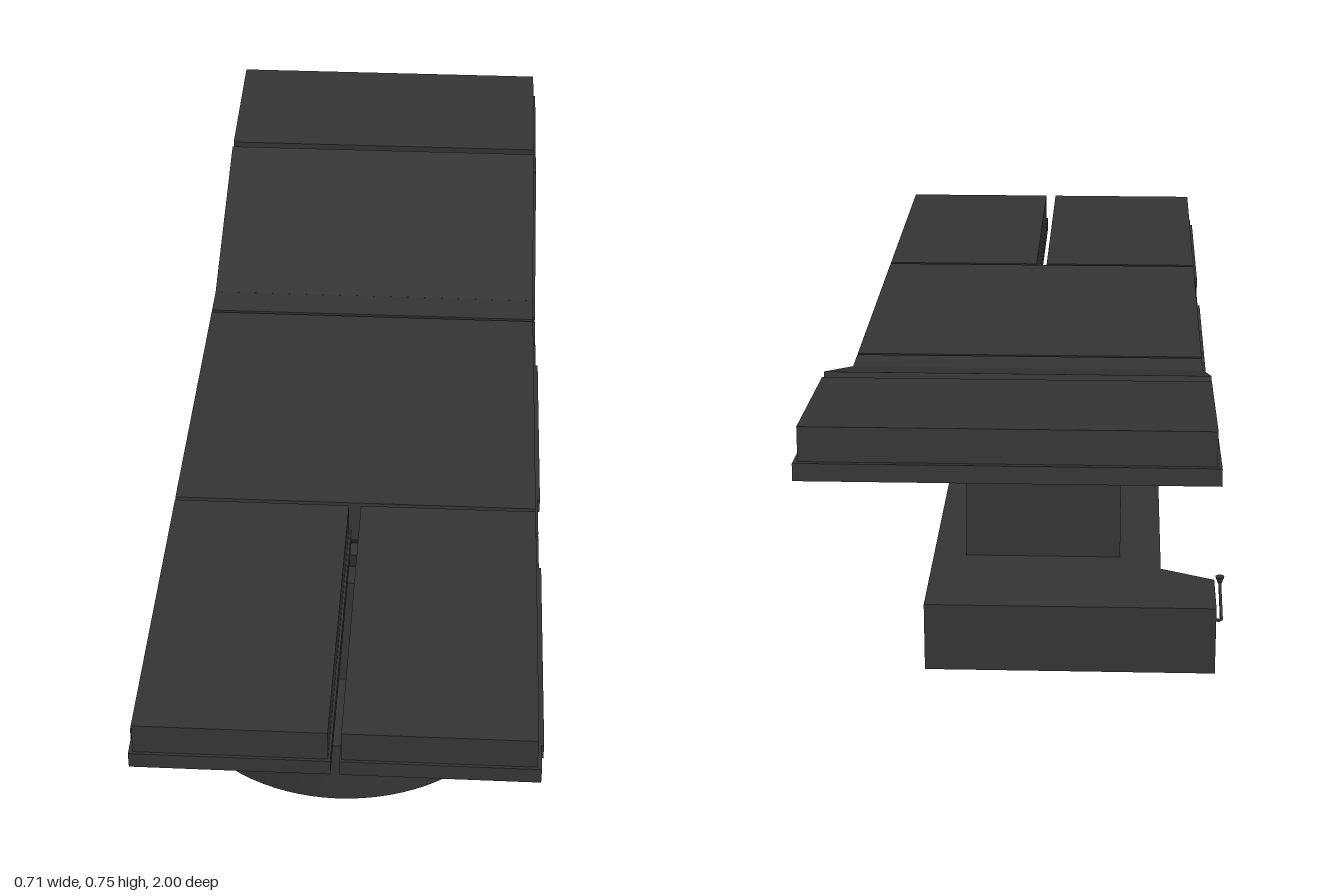
import * as THREE from 'three';
import { toCreasedNormals } from 'three/addons/utils/BufferGeometryUtils.js';

export function createModel() {
  const model = new THREE.Group();
  model.name = 'operatingTable';
  const dark = new THREE.MeshStandardMaterial({ color: 0x353535, side: THREE.DoubleSide });
  dark.name = 'darkGrey';

  const add = (name, geometry, parent = model) => {
    const mesh = new THREE.Mesh(geometry, dark);
    mesh.name = name;
    parent.add(mesh);
    return mesh;
  };
  // box given by its limits
  const block = (name, x0, x1, y0, y1, z0, z1, parent) => {
    const g = new THREE.BoxGeometry(x1 - x0, y1 - y0, z1 - z0);
    g.translate((x0 + x1) / 2, (y0 + y1) / 2, (z0 + z1) / 2);
    return add(name, g, parent);
  };

  // base: hollow shell with a bowed front and a side wing at the back
  const outline = [[0.22, -0.28], [-0.333, -0.28], [-0.333, -0.145], [-0.23, -0.095]];
  const R = 0.34, half = Math.asin(0.225 / R);
  for (let i = 0; i <= 20; i++) {
    const a = -half + (2 * half * i) / 20;
    outline.push([-0.005 + R * Math.sin(a), 0.185 + R * Math.cos(a)]);
  }
  const H = 0.135;
  const walls = [];
  outline.forEach(([x, z], i) => {
    const [u, w] = outline[(i + 1) % outline.length];
    walls.push(x, 0, z, u, 0, w, u, H, w, x, 0, z, u, H, w, x, H, z);
  });
  const wallGeo = new THREE.BufferGeometry();
  wallGeo.setAttribute('position', new THREE.Float32BufferAttribute(walls, 3));
  wallGeo.computeVertexNormals();
  add('baseWalls', toCreasedNormals(wallGeo, 0.5));

  // base top, open where the column passes through
  const top = new THREE.Shape(outline.map(([x, z]) => new THREE.Vector2(x, -z)));
  const hole = [[-0.15, 0.04], [0.155, 0.04], [0.155, -0.34], [-0.15, -0.34]];
  top.holes.push(new THREE.Path(hole.map(([x, y]) => new THREE.Vector2(x, y))));
  const topGeo = new THREE.ShapeGeometry(top);
  topGeo.rotateX(-Math.PI / 2);
  topGeo.translate(0, H, 0);
  add('baseTop', topGeo);

  // column: box without its bottom face
  const column = block('column', -0.15, 0.155, H, 0.372, -0.04, 0.34).geometry;
  const faces = Array.from(column.index.array);
  faces.splice(18, 6);
  column.setIndex(faces);
  column.clearGroups();

  // square bellows
  const folds = [[0.94, 0.372], [1, 0.407], [0.925, 0.426], [1, 0.445], [0.925, 0.464],
    [1, 0.484], [0.925, 0.503], [1, 0.52], [0.98, 0.527]];
  const bellows = new THREE.LatheGeometry(
    folds.map(([r, y]) => new THREE.Vector2(r * Math.SQRT2, y)), 4, Math.PI / 4);
  bellows.scale(0.122, 1, 0.155);
  bellows.translate(0.002, 0, 0.145);
  const flat = bellows.toNonIndexed();
  flat.computeVertexNormals();
  add('bellows', flat);

  // side plates under the seat, rounded at the lower back corner
  const plate = new THREE.Shape();
  plate.moveTo(0.30, 0.53);
  plate.lineTo(0.30, 0.413);
  plate.lineTo(-0.08, 0.413);
  plate.quadraticCurveTo(-0.11, 0.413, -0.11, 0.443);
  plate.lineTo(-0.11, 0.53);
  for (const [name, x] of [['rightSidePlate', -0.297], ['leftSidePlate', 0.335]]) {
    const g = new THREE.ExtrudeGeometry(plate, { depth: 0.007, bevelEnabled: false });
    g.rotateY(-Math.PI / 2);
    g.scale(1, 1, 1);
    g.translate(x + 0.007, 0, 0);
    add(name, g);
  }

  // table sections: board with cushion on top, hinged at the lower front edge
  const X0 = -0.303, X1 = 0.347, C0 = -0.296, C1 = 0.34;
  const section = (name, z, y, length, angle, board, cushion, inset = [0, 0]) => {
    const g = new THREE.Group();
    g.name = name;
    g.position.set(0, y, z);
    g.rotation.x = angle;
    block(name + 'Board', board[0], board[1], 0, 0.028, -length, 0, g);
    block(name + 'Cushion', cushion[0], cushion[1], 0.028, 0.083, -length + inset[1], -inset[0], g);
    model.add(g);
  };
  const full = [X0, X1], pad = [C0, C1];
  section('seat', 0.404, 0.525, 0.607, 0, full, pad);
  section('bridge', -0.21, 0.525, 0.077, 0, full, pad);
  section('back', -0.307, 0.53, 0.4, 0.3, full, pad, [-0.004, 0]);
  section('head', -0.694, 0.643, 0.307, 0.073, full, pad, [0, 0.01]);
  section('rightLeg', 1, 0.525, 0.588, 0, [X0, 0.016], [C0, 0.012], [0.005, 0]);
  section('leftLeg', 1, 0.525, 0.588, 0, [0.03, X1], [0.033, C1], [0.005, 0]);

  // accessory rails along the board edges
  for (const [name, z0, z1] of [['seatRail', -0.13, 0.305], ['legRail', 0.5, 0.945]]) {
    block(name + 'Right', X0 - 0.004, X0, 0.525, 0.553, z0, z1);
    block(name + 'Left', X1, X1 + 0.004, 0.525, 0.553, z0, z1);
  }

  // pedal on the base wing
  const rod = new THREE.CurvePath();
  const pts = [[-0.333, 0.07, -0.19], [-0.347, 0.07, -0.19], [-0.347, 0.1, -0.08]]
    .map((p) => new THREE.Vector3(...p));
  rod.add(new THREE.LineCurve3(pts[0], pts[1]));
  rod.add(new THREE.LineCurve3(pts[1], pts[2]));
  add('pedalRod', new THREE.TubeGeometry(rod, 24, 0.003, 6));
  const knob = add('pedalKnob', new THREE.CylinderGeometry(0.009, 0.004, 0.014, 10));
  knob.position.set(-0.347, 0.106, -0.078);

  return model;
}
